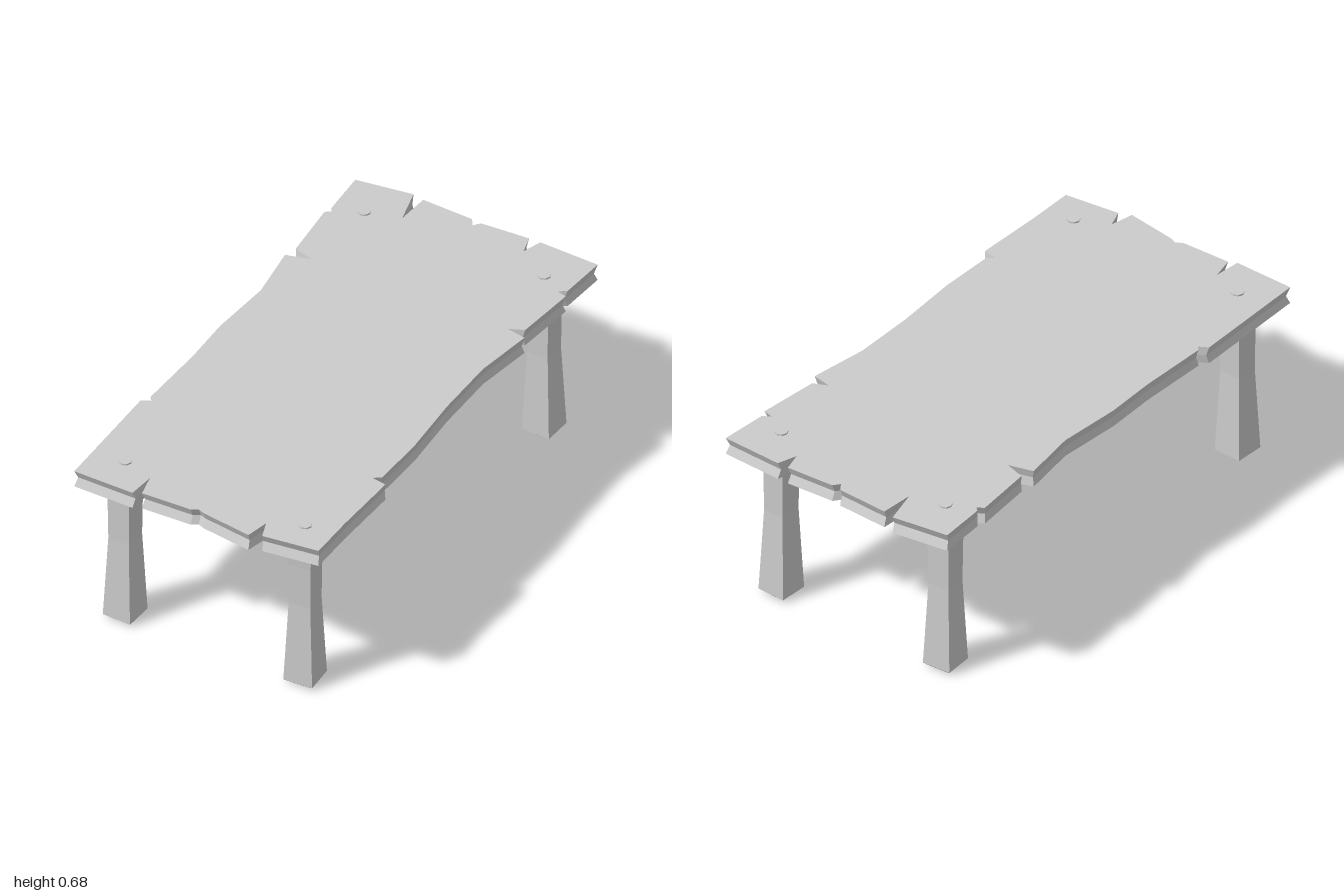
import * as THREE from 'three';

const material = new THREE.MeshStandardMaterial({ color: 0xcccccc, flatShading: true });

// Plank outline as [x, z], running along back, left, front and right edges
const backEdge = [[-0.49, -0.97], [-0.27, -1], [-0.235, -0.86], [-0.225, -0.99], [-0.02, -0.98], [0, -0.95],
  [0.02, -0.975], [0.21, -0.985], [0.23, -0.91], [0.255, -0.985], [0.495, -0.975]];
const leftEdge = [[0.48, -0.79], [0.45, -0.77], [0.49, -0.76], [0.465, -0.52], [0.41, -0.495], [0.485, -0.48],
  [0.45, -0.25], [0.45, 0], [0.465, 0.25], [0.46, 0.47], [0.43, 0.49], [0.49, 0.5], [0.48, 0.77]];
const frontEdge = [[0.48, 0.95], [0.265, 0.975], [0.24, 0.905], [0.22, 0.995], [0.02, 0.965], [-0.005, 0.955],
  [-0.03, 0.97], [-0.225, 0.975], [-0.245, 0.885], [-0.255, 0.99], [-0.495, 0.985]];
const rightEdge = [[-0.5, 0.515], [-0.465, 0.495], [-0.48, 0.48], [-0.47, 0.2], [-0.475, 0], [-0.455, -0.25],
  [-0.485, -0.47], [-0.39, -0.495], [-0.47, -0.52], [-0.49, -0.755], [-0.465, -0.77], [-0.48, -0.785]];

const BOTTOM = 0.61, TOP = 0.677;

// Slab whose middle layer is pulled in slightly, giving a hollowed rim
function createTabletop() {
  const outline = [...backEdge, ...leftEdge, ...frontEdge, ...rightEdge];
  const shape = new THREE.Shape(outline.map(([x, z]) => new THREE.Vector2(x, -z)));
  const depth = TOP - BOTTOM;
  const geometry = new THREE.ExtrudeGeometry(shape, { depth, steps: 2, bevelEnabled: false });
  geometry.rotateX(-Math.PI / 2);
  const p = geometry.attributes.position;
  for (let i = 0; i < p.count; i++) {
    if (Math.abs(p.getY(i) - depth / 2) < 0.001) {
      p.setX(i, p.getX(i) * 0.985);
      p.setZ(i, p.getZ(i) * 0.985);
    }
  }
  geometry.computeVertexNormals();
  const mesh = new THREE.Mesh(geometry, material);
  mesh.name = 'tabletop';
  mesh.position.y = BOTTOM;
  return mesh;
}

// Square, waisted leg: [half width, height]
const legProfile = [[0, 0], [0.044, 0], [0.057, 0.012], [0.05, 0.18], [0.043, 0.35], [0.045, 0.52],
  [0.051, 0.612], [0, 0.612]];

function createLegGeometry() {
  const points = legProfile.map(([w, y]) => new THREE.Vector2(w * Math.SQRT2, y));
  return new THREE.LatheGeometry(points, 4).rotateY(Math.PI / 4);
}

export function createModel() {
  const model = new THREE.Group();
  model.name = 'table';
  model.add(createTabletop());

  const legGeometry = createLegGeometry();
  const pegGeometry = new THREE.CylinderGeometry(0.025, 0.025, 0.02, 8);

  // Legs, each turned a little, with the peg that shows through the top
  for (const [end, z] of [['front', 0.845], ['back', -0.825]]) {
    for (const [side, x] of [['Left', 0.364], ['Right', -0.369]]) {
      const leg = new THREE.Mesh(legGeometry, material);
      leg.name = `${end}${side}Leg`;
      leg.position.set(x, 0, z);
      leg.rotation.y = 0.05 * Math.sign(x * z);

      const peg = new THREE.Mesh(pegGeometry, material);
      peg.name = `${end}${side}Peg`;
      peg.position.set(x, TOP - 0.004, z);
      model.add(leg, peg);
    }
  }
  return model;
}
